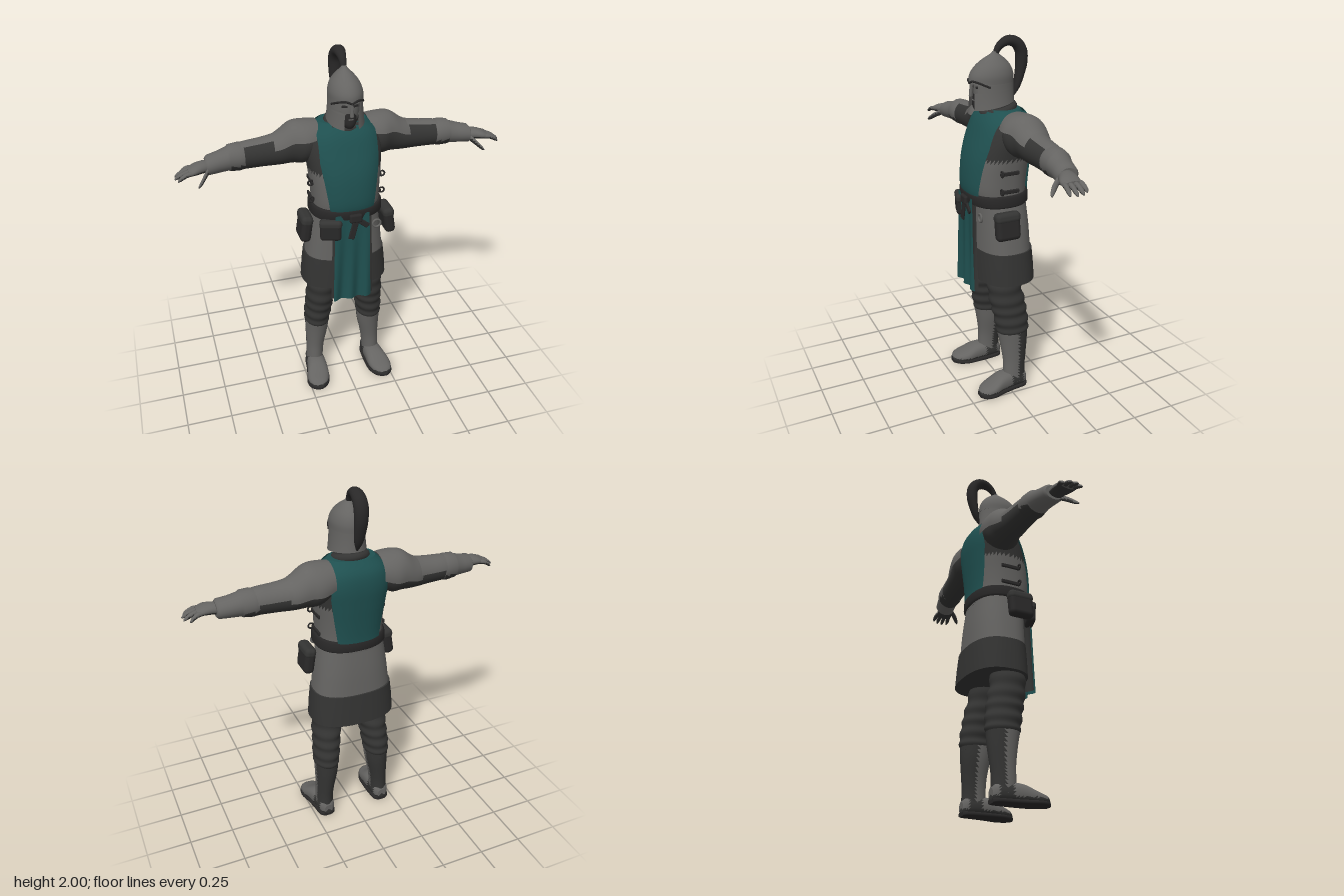
import * as THREE from 'three';
import { ParametricGeometry } from 'three/addons/geometries/ParametricGeometry.js';
import { RoundedBoxGeometry } from 'three/addons/geometries/RoundedBoxGeometry.js';

const V = (x, y, z) => new THREE.Vector3(x, y, z);
const paint = (name, color) => new THREE.MeshStandardMaterial({ name, color, side: THREE.DoubleSide });

// Rings are [x, y, z, halfWidthA, halfWidthB]; smooth() adds rings in between.
function smooth(rings, n) {
  const c = new THREE.CatmullRomCurve3(rings.map(r => V(r[0], r[1], r[2])), false, 'catmullrom', 0.5);
  const d = new THREE.CatmullRomCurve3(rings.map(r => V(r[3], r[4], 0)), false, 'catmullrom', 0.5);
  return Array.from({ length: n + 1 }, (_, i) => {
    const p = c.getPoint(i / n), q = d.getPoint(i / n);
    return [p.x, p.y, p.z, q.x, q.y];
  });
}

// Linear lookup of a ring by coordinate k (0 = x, 1 = y).
function ringAt(rings, k, t) {
  let i = 0;
  while (i < rings.length - 2 && (rings[i + 1][k] - t) * (rings[0][k] - t) > 0) i++;
  const a = rings[i], b = rings[i + 1];
  const f = THREE.MathUtils.clamp((t - a[k]) / (b[k] - a[k]), 0, 1);
  return a.map((v, j) => v + (b[j] - v) * f);
}

// Closed skin over rings. axis 'x', 'y', 'z' or 'path' (turning in the yz plane).
// pick(point, ring) returns a material index per face.
function loft(rings, { axis = 'y', seg = 24, p = 2, pick = () => 0 } = {}) {
  const pos = [], faces = [], n = rings.length;
  const bend = t => Math.sign(t) * Math.abs(t) ** (2 / p);
  const ringPoints = i => {
    const [x, y, z, a, b] = rings[i];
    const lo = rings[Math.max(0, i - 1)], hi = rings[Math.min(n - 1, i + 1)];
    const tilt = axis === 'path' ? Math.atan2(lo[2] - hi[2], hi[1] - lo[1]) : axis === 'z' ? Math.PI / 2 : 0;
    for (let j = 0; j < seg; j++) {
      const u = a * bend(Math.cos(j / seg * 2 * Math.PI)), w = b * bend(Math.sin(j / seg * 2 * Math.PI));
      if (axis === 'x') pos.push(x, y + u, z + w);
      else pos.push(x + u, y + w * Math.sin(tilt), z + w * Math.cos(tilt));
    }
  };
  for (let i = 0; i < n; i++) ringPoints(i);
  for (let i = 0; i < n - 1; i++) for (let j = 0; j < seg; j++) {
    const k = (j + 1) % seg, a = i * seg + j, b = i * seg + k;
    faces.push([a, a + seg, b, i], [b, a + seg, b + seg, i]);
  }
  for (const e of [0, n - 1]) {
    const base = pos.length / 3;
    ringPoints(e);
    pos.push(rings[e][0], rings[e][1], rings[e][2]);
    for (let j = 0; j < seg; j++) {
      const a = base + j, b = base + (j + 1) % seg;
      faces.push(e ? [a, base + seg, b, e] : [b, base + seg, a, e]);
    }
  }
  const pt = i => V(pos[3 * i], pos[3 * i + 1], pos[3 * i + 2]);
  const volume = faces.reduce((s, f) => s + pt(f[0]).dot(pt(f[1]).cross(pt(f[2]))), 0);
  const buckets = [[], [], [], []];
  for (const [a, b, c, i] of faces) {
    const mid = pt(a).add(pt(b)).add(pt(c)).divideScalar(3);
    buckets[pick(mid, rings[i])].push(...(volume < 0 ? [a, c, b] : [a, b, c]));
  }
  const g = new THREE.BufferGeometry();
  g.setAttribute('position', new THREE.Float32BufferAttribute(pos, 3));
  g.setIndex(buckets.flat());
  let start = 0;
  buckets.forEach((b, m) => { if (b.length) g.addGroup(start, b.length, m); start += b.length; });
  g.computeVertexNormals();
  return g;
}

// Thin curved sheet from f(u, v) -> [x, y, z].
function sheet(f, nu = 20, nv = 16) {
  const g = new ParametricGeometry((u, v, t) => t.set(...f(u, v)), nu, nv);
  g.computeVertexNormals();
  return g;
}

export function createModel() {
  const model = new THREE.Group();
  model.name = 'armouredFigure';
  const steel = paint('steel grey', 0x656462), dark = paint('dark cloth', 0x343433);
  const teal = paint('teal cloth', 0x1f5050), leather = paint('black leather', 0x292828);
  const palette = [steel, dark, teal, leather];
  const add = (name, geo, mat = palette) => {
    const m = new THREE.Mesh(geo, mat);
    m.name = name;
    model.add(m);
    return m;
  };
  const box = (name, size, at, mat, rot = [0, 0, 0], r = 0.012) => {
    const m = add(name, new RoundedBoxGeometry(...size, 2, Math.min(r, Math.min(...size) * 0.45)), mat);
    m.position.set(...at);
    m.rotation.set(...rot);
  };
  const lerp = THREE.MathUtils.lerp;

  // Torso with grey side plates and teal shoulder yoke
  const P = 2.4;
  const torso = smooth([[0, 1.12, -0.01, 0.18, 0.145], [0, 1.2, 0.007, 0.182, 0.16], [0, 1.3, 0.003, 0.188, 0.163],
    [0, 1.4, -0.01, 0.198, 0.16], [0, 1.5, -0.03, 0.205, 0.147], [0, 1.58, -0.04, 0.18, 0.125], [0, 1.635, -0.04, 0.125, 0.085]], 24);
  add('torso', loft(torso, { seg: 48, p: P, pick: c => c.y > 1.57 && Math.abs(c.x) < 0.15 ? 2 : c.y < 1.385 ? 0 : 1 }));

  // Tabard, front and back
  for (const s of [1, -1]) {
    add(s > 0 ? 'tabardFront' : 'tabardBack', sheet((u, v) => {
      const y = lerp(1.16, 1.625, v), [, , cz, a, b] = ringAt(torso, 1, y);
      const w = Math.min(lerp(0.115, 0.158, Math.min(1, v * 1.6)), a * 0.93), x = (2 * u - 1) * w;
      return [x, y, cz + s * (b * (1 - Math.abs(x / a) ** P) ** (1 / P) + 0.012)];
    }, 24, 24), teal);
  }

  // Skirt: grey upper band, dark hem
  const skirt = [[0, 1.15, -0.01, 0.183, 0.14], [0, 1.0, -0.018, 0.205, 0.148], [0, 0.855, -0.022, 0.222, 0.152]];
  add('skirt', loft(smooth(skirt, 8), { seg: 40, p: 2.5 }), steel);
  add('skirtHem', loft([[0, 0.865, -0.024, 0.228, 0.158], [0, 0.78, -0.026, 0.238, 0.164], [0, 0.685, -0.028, 0.245, 0.168]],
    { seg: 40, p: 2.5 }), dark);
  // Tabard tail with folds, and its dark lining
  const tail = (x0, x1, y1, z) => sheet((u, v) => [lerp(x0, x1, u) * (0.85 + 0.15 * v), lerp(1.17, y1, v),
    z + 0.011 * v * Math.sin(u * 15 + v)], 28, 10);
  add('tabardTail', tail(-0.115, 0.105, 0.63, 0.174), teal);
  add('tailLining', tail(-0.125, 0.122, 0.64, 0.158), dark);

  // Belt, knot and hanging strap
  add('belt', loft([[0, 1.13, 0.004, 0.193, 0.16], [0, 1.14, 0.005, 0.2, 0.172], [0, 1.185, 0.008, 0.198, 0.174], [0, 1.195, 0.008, 0.19, 0.165]],
    { seg: 40, p: 2.4 }), leather);
  box('beltKnot', [0.07, 0.05, 0.025], [0.01, 1.15, 0.185], leather);
  box('beltStrap', [0.035, 0.13, 0.012], [0.0, 1.09, 0.187], leather, [0, 0, -0.25]);
  box('beltStrap', [0.03, 0.09, 0.012], [0.045, 1.12, 0.183], leather, [0, 0, 0.9]);

  // Pouches
  box('frontPouch', [0.115, 0.115, 0.05], [-0.12, 1.08, 0.155], leather, [0, -0.3, 0], 0.02);
  box('frontPouchFlap', [0.122, 0.05, 0.056], [-0.12, 1.12, 0.156], dark, [0, -0.3, 0], 0.02);
  for (const s of [1, -1]) {
    const y = s > 0 ? 1.045 : 1.065;
    box('sidePouch', [0.06, 0.15, 0.14], [s * 0.235, y, 0.035], leather, [0, 0, s * 0.15], 0.025);
    box('sidePouchFlap', [0.066, 0.06, 0.145], [s * 0.23, y + 0.05, 0.035], dark, [0, 0, s * 0.15], 0.025);
    // Side buckles
    for (const by of [1.22, 1.32]) {
      box('sideStrap', [0.012, 0.022, 0.11], [s * 0.189, by, 0], leather);
      const ring = add('sideBuckle', new THREE.TorusGeometry(0.015, 0.005, 6, 14), leather);
      ring.position.set(s * 0.198, by + 0.005, 0.05);
    }
  }
  const beltRing = add('beltRing', new THREE.TorusGeometry(0.022, 0.006, 8, 18), steel);
  beltRing.position.set(0.14, 1.08, 0.15);

  for (const s of [1, -1]) {
    const side = rings => rings.map(([x, ...r]) => [s * x, ...r]);
    const name = n => (s > 0 ? 'left' : 'right') + n;

    // Trouser legs
    const leg = smooth(side([[0.115, 0.78, 0.0, 0.085, 0.1], [0.135, 0.66, 0.005, 0.083, 0.096], [0.145, 0.56, -0.01, 0.08, 0.102],
      [0.152, 0.48, -0.025, 0.076, 0.1], [0.16, 0.4, -0.036, 0.073, 0.097], [0.16, 0.34, -0.04, 0.064, 0.086]]), 40);
    leg.forEach((r, i) => { const k = 0.004 * Math.sin(i * 0.95); r[3] += k; r[4] += k; });
    add(name('Leg'), loft(leg), dark);

    // Boots: grey front, dark back
    const boot = smooth(side([[0.16, 0.385, -0.035, 0.07, 0.093], [0.163, 0.3, -0.042, 0.065, 0.083], [0.172, 0.2, -0.044, 0.054, 0.07],
      [0.177, 0.13, -0.042, 0.05, 0.066], [0.18, 0.05, -0.042, 0.05, 0.068]]), 16);
    add(name('BootShaft'), loft(boot, { pick: (c, r) => c.z > r[2] - 0.1 * r[4] ? 0 : 1 }));
    const foot = smooth(side([[0.178, 0.045, -0.112, 0.025, 0.03], [0.179, 0.055, -0.09, 0.045, 0.047], [0.18, 0.058, -0.02, 0.053, 0.052],
      [0.186, 0.055, 0.05, 0.06, 0.05], [0.196, 0.038, 0.115, 0.066, 0.036], [0.202, 0.03, 0.165, 0.05, 0.026], [0.203, 0.024, 0.19, 0.02, 0.013]]), 24);
    add(name('Foot'), loft(foot, { axis: 'z', p: 2.4, pick: c => c.y > 0.035 && (c.z > -0.01 || c.z < -0.085) ? 0 : 1 }));
    const sole = foot.map(([x, , z, a]) => [x, 0.012, z, a + 0.004, 0.012]);
    add(name('Sole'), loft(sole, { axis: 'z', p: 4 }), leather);

    // Sleeve
    const armBase = smooth([[0.1, 1.54, -0.06, 0.07, 0.08], [0.2, 1.515, -0.06, 0.105, 0.105], [0.27, 1.512, -0.066, 0.103, 0.09],
      [0.34, 1.49, -0.065, 0.083, 0.08], [0.43, 1.483, -0.06, 0.073, 0.07], [0.56, 1.48, -0.052, 0.068, 0.066]], 24);
    add(name('Sleeve'), loft(side(armBase), { axis: 'x', seg: 32 }), dark);

    // Plates that wrap the top of the arm, lower at the back
    const wrap = (x0, x1, front, back, off) => sheet((u, v) => {
      const x = lerp(x0, x1, v), [, cy, cz, a, b] = ringAt(armBase, 0, x), th = lerp(-front, back, u);
      const o = off * (1 - 0.7 * v ** 6);
      return [s * x, cy + (a + o) * Math.cos(th), cz - (b + o) * Math.sin(th)];
    });
    add(name('Pauldron'), wrap(0.135, 0.37, 1.25, 1.75, 0.018), steel);
    add(name('UpperArmPlate'), wrap(0.35, 0.55, 0.6, 1.45, 0.008), steel);

    // Forearm guard with flared cuff
    add(name('ForearmGuard'), loft(side([[0.525, 1.482, -0.055, 0.07, 0.07], [0.55, 1.482, -0.053, 0.074, 0.074], [0.6, 1.482, -0.048, 0.07, 0.07],
      [0.61, 1.48, -0.046, 0.062, 0.066], [0.66, 1.472, -0.037, 0.055, 0.062], [0.715, 1.466, -0.026, 0.05, 0.06], [0.725, 1.465, -0.025, 0.04, 0.048]]),
      { axis: 'x', pick: (c, r) => c.y < r[1] - 0.03 && Math.abs(c.x) < 0.6 ? 1 : 0 }));

    // Hand: grey back, dark palm
    const palmPick = (c, r) => c.y < r[1] - 0.25 * r[3] ? 1 : 0;
    add(name('Palm'), loft(smooth(side([[0.7, 1.465, -0.02, 0.03, 0.038], [0.74, 1.468, -0.01, 0.03, 0.045],
      [0.78, 1.465, 0.0, 0.026, 0.052], [0.815, 1.456, 0.003, 0.018, 0.046]]), 10), { axis: 'x', pick: palmPick }));
    [-0.042, -0.013, 0.016, 0.043].forEach((z, i) => {
      const len = [0.055, 0.08, 0.083, 0.07][i], at = t => 0.802 + len * t;
      add(name('Finger'), loft(smooth(side([[at(-0.2), 1.46, z * 0.9, 0.012, 0.012], [at(0.3), 1.457, z, 0.013, 0.013],
        [at(0.8), 1.44, z * 1.1, 0.011, 0.011], [at(1), 1.43, z * 1.12, 0.004, 0.004]]), 8), { axis: 'x', seg: 10, pick: palmPick }));
    });
    add(name('Thumb'), loft(smooth(side([[0.715, 1.455, 0.015, 0.018, 0.018], [0.74, 1.435, 0.05, 0.016, 0.016],
      [0.765, 1.412, 0.076, 0.012, 0.012], [0.778, 1.402, 0.086, 0.004, 0.004]]), 8), { axis: 'x', seg: 10, pick: palmPick }));
  }

  // Neck and collar
  add('neck', loft([[0, 1.58, -0.03, 0.085, 0.085], [0, 1.72, -0.01, 0.075, 0.085]]), dark);
  const collar = new THREE.TorusGeometry(0.08, 0.024, 10, 32);
  collar.rotateX(Math.PI / 2 + 0.25);
  add('collar', collar, dark).position.set(0, 1.625, -0.02);

  // Face, eyes, beard
  add('face', loft(smooth([[0, 1.65, 0.045, 0.045, 0.06], [0, 1.69, 0.03, 0.065, 0.082], [0, 1.74, 0.022, 0.073, 0.092], [0, 1.81, 0.02, 0.072, 0.09]], 10)), steel);
  add('beard', loft(smooth([[0, 1.632, 0.09, 0.02, 0.025], [0, 1.655, 0.085, 0.036, 0.04], [0, 1.69, 0.08, 0.04, 0.042], [0, 1.712, 0.085, 0.028, 0.035]], 8)), leather);
  box('mouth', [0.026, 0.006, 0.006], [0, 1.683, 0.122], steel);
  for (const s of [1, -1]) box('eye', [0.03, 0.012, 0.008], [s * 0.03, 1.75, 0.108], leather, [0, s * 0.35, 0]);

  // Helmet: cheek and neck guard with open face, dome, nose guard, brow
  add('helmetGuard', sheet((u, v) => {
    const open = v > 0.55 && v < 0.86 ? 0.62 : 0.4;
    const th = lerp(open, 2 * Math.PI - open, u);
    const y = lerp(1.652 - 0.02 * Math.cos(th), 1.79, v), flare = 0.01 * (1 - v) ** 2;
    return [(0.087 + flare) * Math.sin(th), y, 0.018 + (0.12 + flare * 0.5) * Math.cos(th)];
  }, 40, 20), steel);
  add('helmetDome', loft(smooth([[0, 1.77, 0.02, 0.088, 0.123], [0, 1.81, 0.018, 0.087, 0.12], [0, 1.85, 0.012, 0.073, 0.1],
    [0, 1.885, 0.006, 0.046, 0.064], [0, 1.91, 0.0, 0.02, 0.026], [0, 1.925, -0.004, 0.012, 0.014]], 20), { seg: 36 }), steel);
  box('noseGuard', [0.018, 0.08, 0.014], [0, 1.74, 0.134], steel, [-0.1, 0, 0], 0.005);
  for (const s of [1, -1]) {
    const brow = new THREE.CatmullRomCurve3([V(0, 1.773, 0.143), V(s * 0.03, 1.785, 0.137), V(s * 0.06, 1.778, 0.112), V(s * 0.083, 1.755, 0.06)]);
    add('browRidge', new THREE.TubeGeometry(brow, 14, 0.006, 6), leather);
  }

  // Crest plume curling backwards
  const plume = [[0.014, 1.905, -0.003, 0.014], [0.02, 1.95, -0.028, 0.02], [0.03, 1.974, -0.075, 0.026], [0.036, 1.962, -0.122, 0.03], [0.038, 1.92, -0.152, 0.032],
    [0.036, 1.86, -0.156, 0.031], [0.032, 1.8, -0.146, 0.025], [0.024, 1.735, -0.129, 0.017], [0.006, 1.685, -0.11, 0.004]];
  add('plume', loft(smooth(plume.map(([a, y, z, b]) => [0, y, z, a, b]), 32), { axis: 'path', seg: 20 }), leather);
  return model;
}
